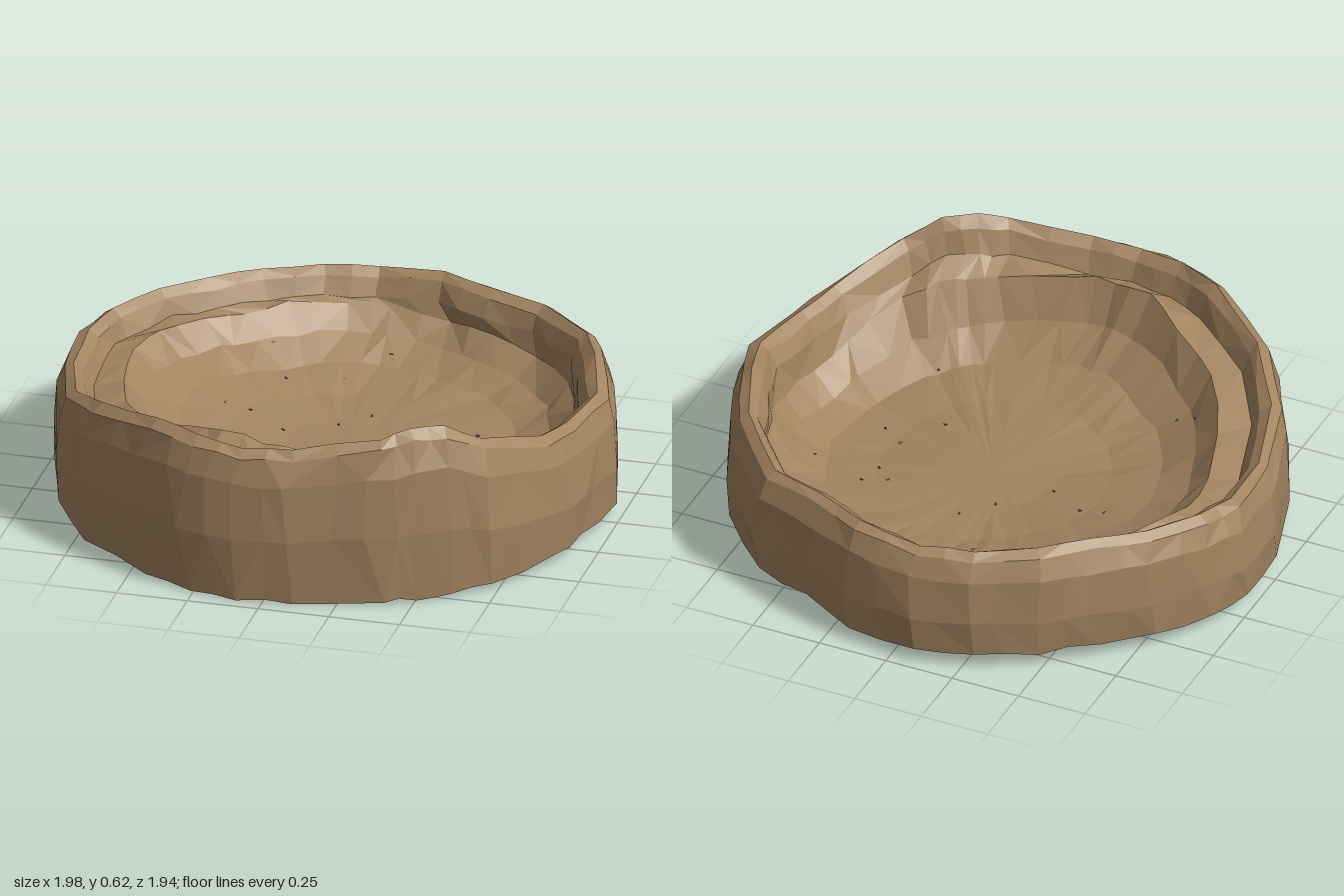
import * as THREE from 'three';

// Outline seen from above: [x, z, rim height], running from +x towards +z
const outline = [
  [0.995, -0.06, 0.455], [0.945, 0.21, 0.445], [0.9, 0.385, 0.46], [0.74, 0.65, 0.545], [0.62, 0.74, 0.615],
  [0.51, 0.81, 0.615], [0.41, 0.87, 0.595], [0.1, 0.95, 0.55], [-0.09, 0.965, 0.545], [-0.27, 0.93, 0.56],
  [-0.45, 0.845, 0.565], [-0.72, 0.64, 0.51], [-0.88, 0.4, 0.44], [-0.98, 0.08, 0.41], [-0.995, -0.19, 0.42],
  [-0.945, -0.35, 0.44], [-0.82, -0.55, 0.45], [-0.66, -0.68, 0.45], [-0.5, -0.82, 0.45], [-0.29, -0.93, 0.44],
  [-0.09, -0.975, 0.44], [0.165, -0.95, 0.46], [0.385, -0.845, 0.46], [0.6, -0.775, 0.45], [0.83, -0.52, 0.48],
  [0.92, -0.29, 0.5],
];

// Section from the outer foot over the rim to the middle of the floor:
// [radius factor, share of rim height, fixed height, jitter, slant]
const section = [
  [0.985, 0, 0, 0.005, 0], [0.998, 0.42, 0, 0.007, 0.25], [0.985, 0.78, 0, 0.007, 0.25], [0.955, 0.95, 0, 0.006, 0],
  [0.92, 1, 0, 0.004, 0], [0.885, 0.94, 0, 0.006, 0], [0.855, 0.8, 0, 0.008, 0], [0.8, 0.52, 0.095, 0.009, 0.2],
  [0.72, 0.19, 0.165, 0.009, 0.2], [0.6, 0.03, 0.185, 0.007, 0], [0.42, 0, 0.175, 0.004, 0],
  [0.21, 0, 0.165, 0.001, 0], [0, 0, 0.16, 0, 0],
];

function seeded(seed) {
  return () => {
    seed = (seed * 16807) % 2147483647;
    return seed / 2147483647 - 0.5;
  };
}

// Floor relief: gentle lumps, sinking towards +x and rising towards the front
const relief = (x, z) =>
  0.009 * Math.sin(7 * x + 3 * z) + 0.008 * Math.sin(8 * z - 4 * x + 1)
  - 0.04 * x - 0.04 * Math.max(0, x) + 0.2 * Math.max(0, z) ** 2;

function buildBowl() {
  const rand = seeded(4711);
  const n = outline.length * 2;
  const pos = [], index = [];
  section.forEach(([r, share, base, jitter, slant], ring) => {
    const inside = r < 0.82;
    for (let i = 0; i < n; i++) {
      // straight interpolation keeps broad facets on the outside
      const a = outline[i >> 1], b = outline[((i >> 1) + 1) % outline.length];
      const t = (i % 2) / 2 + (rand() + 0.5) * slant;
      const [x, z, h] = a.map((v, k) => v + (b[k] - v) * t);
      // the floor sits a little towards the back and +x, where the wall is steeper
      const px = x * r + (inside ? 0.04 : 0) + rand() * jitter * 2;
      const pz = z * r - (inside ? 0.04 : 0) + rand() * jitter * 2;
      const foot = 0.025 - 0.027 * z + 0.015 * Math.abs(x) + rand() * 0.02;
      let y = ring === 0 ? Math.max(0, foot) : share * h + base + rand() * jitter * 2;
      if (inside) y += relief(px, pz);
      pos.push(px, y, pz);
    }
  });
  for (let j = 0; j < section.length - 1; j++) {
    for (let i = 0; i < n; i++) {
      const a = j * n + i, b = j * n + (i + 1) % n;
      if (j === section.length - 2) index.push(a, a + n, b);
      else if (i % 2) index.push(a, a + n, b, b, a + n, b + n);
      else index.push(a, a + n, b + n, a, b + n, b);
    }
  }
  const geo = new THREE.BufferGeometry();
  geo.setAttribute('position', new THREE.Float32BufferAttribute(pos, 3));
  geo.setIndex(index);
  geo.computeVertexNormals();
  return geo;
}

// Small dark chips lying on the floor: [x, z]
const chips = [
  [0.02, -0.67], [-0.1, -0.51], [-0.29, -0.44], [-0.37, -0.57], [0.05, -0.3], [0.44, -0.25], [0.36, -0.21],
  [0.42, -0.15], [0.64, -0.2], [-0.04, -0.2], [-0.34, -0.16], [-0.43, -0.16], [-0.2, -0.07], [0.42, 0.02],
  [0.5, 0.07], [0.31, 0.15], [-0.53, 0.36], [-0.46, 0.37], [0.1, 0.44], [0.45, 0.39],
];

export function createModel() {
  const model = new THREE.Group();
  model.name = 'roughBowl';

  const clay = new THREE.MeshStandardMaterial({ color: 0xa38460, flatShading: true, side: THREE.DoubleSide });
  const bowl = new THREE.Mesh(buildBowl(), clay);
  bowl.name = 'bowlShell';
  model.add(bowl);

  // Chips are dropped onto the floor surface
  const chipMaterial = new THREE.MeshStandardMaterial({ color: 0x4a4650, flatShading: true });
  const chipGeometry = new THREE.TetrahedronGeometry(0.009);
  const ray = new THREE.Raycaster();
  const chipGroup = new THREE.Group();
  chipGroup.name = 'floorChips';
  chips.forEach(([x, z], i) => {
    ray.set(new THREE.Vector3(x, 2, z), new THREE.Vector3(0, -1, 0));
    const hit = ray.intersectObject(bowl)[0];
    if (!hit) return;
    const chip = new THREE.Mesh(chipGeometry, chipMaterial);
    chip.name = 'chip';
    chip.position.copy(hit.point);
    chip.rotation.y = i * 1.3;
    chip.scale.set(1.3, 0.6, 0.7);
    chipGroup.add(chip);
  });
  model.add(chipGroup);
  return model;
}
